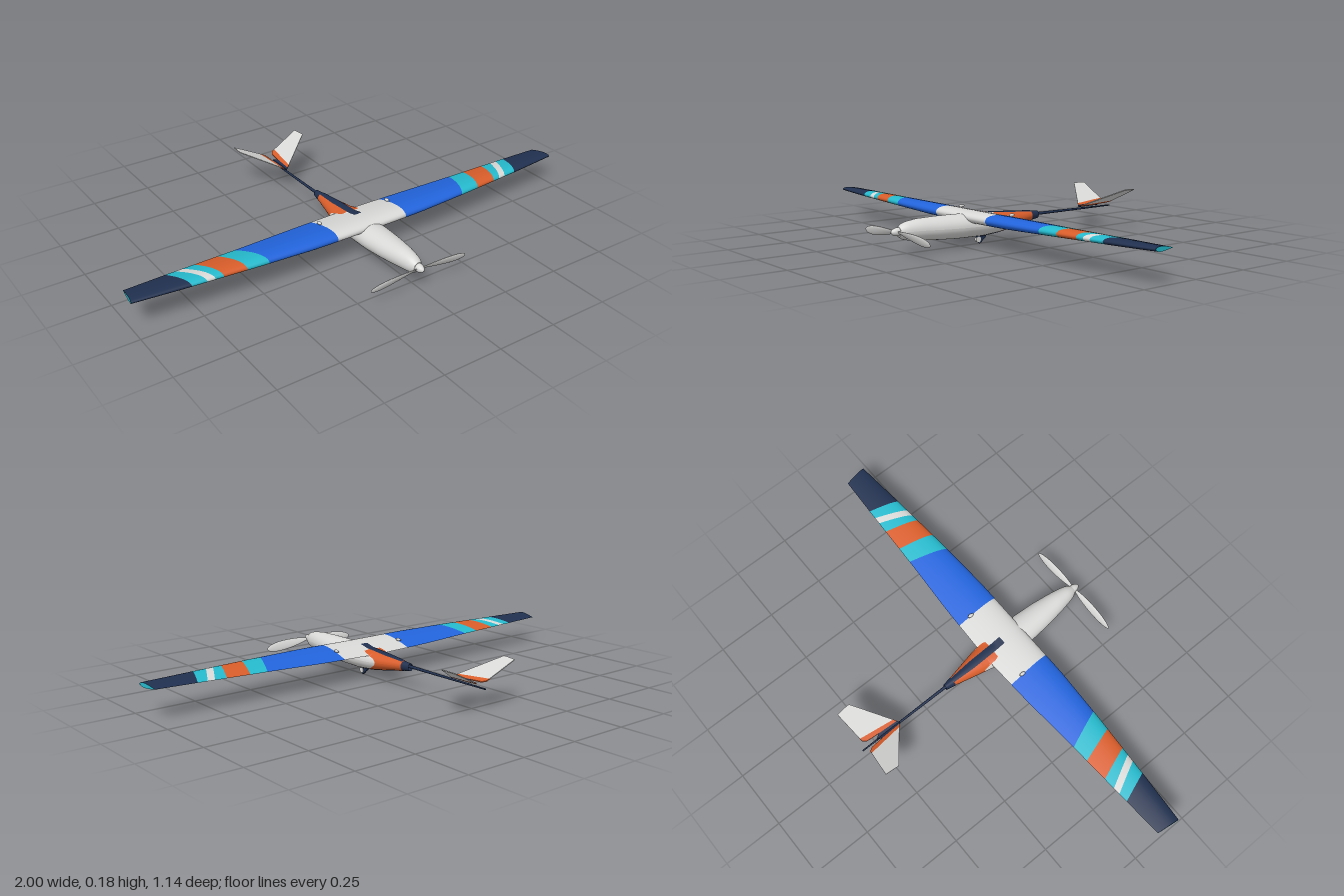
import * as THREE from 'three';

const paint = (name, color) =>
  new THREE.MeshStandardMaterial({ name, color, side: THREE.DoubleSide });
const white = paint('white', 0xd9d9d8);
const blue = paint('blue', 0x2264dc);
const cyan = paint('cyan', 0x25bacd);
const orange = paint('orange', 0xd95d2a);
const navy = paint('navy', 0x20304f);

const lerp = THREE.MathUtils.lerp;

// Linear lookup of one column in a table of stations with ascending keys
function look(table, key, col) {
  let i = 1;
  while (i < table.length - 1 && key > table[i][0]) i++;
  const a = table[i - 1], b = table[i];
  const t = THREE.MathUtils.clamp((key - a[0]) / (b[0] - a[0]), 0, 1);
  return lerp(a[col], b[col], t);
}

// Smooth surface from a function of u and v, both 0..1
function surface(name, nu, nv, fn, material) {
  const pos = [], idx = [];
  for (let i = 0; i <= nu; i++)
    for (let j = 0; j <= nv; j++) pos.push(...fn(i / nu, j / nv));
  for (let i = 0; i < nu; i++)
    for (let j = 0; j < nv; j++) {
      const a = i * (nv + 1) + j, b = a + nv + 1;
      idx.push(a, b, a + 1, b, b + 1, a + 1);
    }
  const g = new THREE.BufferGeometry();
  g.setAttribute('position', new THREE.Float32BufferAttribute(pos, 3));
  g.setIndex(idx);
  g.computeVertexNormals();
  return part(name, g, material);
}

function part(name, geometry, material) {
  const m = new THREE.Mesh(geometry, material);
  m.name = name;
  return m;
}

// Wing stations: x, leading z, trailing z, leading y, trailing y, rise above, drop below
const WING = [
  [0, 0.25, 0.055, 0.117, 0.105, 0.024, 0.024],
  [0.25, 0.25, 0.064, 0.118, 0.107, 0.024, 0.022],
  [0.5, 0.238, 0.08, 0.12, 0.112, 0.02, 0.017],
  [0.8, 0.217, 0.094, 0.122, 0.118, 0.014, 0.012],
  [1, 0.2, 0.105, 0.125, 0.121, 0.009, 0.009],
];
const foil = c => 10 * (0.2969 * Math.sqrt(c) - 0.126 * c - 0.3516 * c * c
  + 0.2843 * c ** 3 - 0.1036 * c ** 4);

// Point on the wing: c is the chord fraction, side is 1 above and -1 below
function wingPoint(x, c, side) {
  const w = k => look(WING, x, k);
  const h = side > 0 ? w(5) : -w(6);
  return [x, lerp(w(3), w(4), c) + h * foil(c), lerp(w(1), w(2), c)];
}

// Half wing in slanted colour bands: leading x, trailing x, colour of the band inboard of it
const BANDS = [
  [0.163, 0.167, white, 'wingCentre'], [0.465, 0.525, blue, 'wingInner'],
  [0.555, 0.6, cyan, 'wingBand'], [0.65, 0.7, orange, 'wingBand'],
  [0.683, 0.75, cyan, 'wingBand'], [0.715, 0.78, white, 'wingBand'],
  [0.775, 0.82, cyan, 'wingBand'], [1, 0.988, navy, 'wingTip'],
];
function halfWing() {
  const g = new THREE.Group();
  g.name = 'halfWing';
  const around = v => {
    const a = v * Math.PI * 2;
    return [(1 + Math.cos(a)) / 2, a < Math.PI ? 1 : -1];
  };
  let from = [0, 0];
  for (const to of BANDS) {
    const start = from;
    g.add(surface(to[3], 6, 40, (u, v) => {
      const [c, side] = around(v);
      return wingPoint(lerp(lerp(start[0], start[1], c), lerp(to[0], to[1], c), u), c, side);
    }, to[2]));
    from = to;
  }
  // Closed wing end
  g.add(surface('wingEnd', 12, 1, (u, v) =>
    wingPoint(lerp(1, 0.988, u), u, v ? 1 : -1), cyan));
  // Small linkage fairing
  const bump = part('linkageFairing', new THREE.SphereGeometry(1, 12, 8), white);
  bump.scale.set(0.007, 0.006, 0.014);
  bump.position.set(0.165, 0.131, 0.12);
  g.add(bump);
  return g;
}

// Fuselage stations: z, half width, top y, bottom y
const BODY = [
  [-0.15, 0.012, 0.105, 0.074], [-0.1, 0.021, 0.109, 0.067], [0, 0.043, 0.116, 0.049],
  [0.07, 0.058, 0.121, 0.038], [0.15, 0.064, 0.126, 0.032], [0.27, 0.064, 0.13, 0.033],
  [0.36, 0.057, 0.131, 0.038], [0.45, 0.044, 0.13, 0.046], [0.5, 0.034, 0.124, 0.051],
  [0.53, 0.026, 0.115, 0.059], [0.537, 0.019, 0.107, 0.067],
];
function bodyPoint(z, a) {
  const top = look(BODY, z, 2), bottom = look(BODY, z, 3);
  return [look(BODY, z, 1) * Math.cos(a),
    (top + bottom) / 2 + (top - bottom) / 2 * Math.sin(a), z];
}
const bodySection = (name, z0, z1, material) => surface(name, 26, 40, (u, v) => {
  const a = v * Math.PI * 2;
  return bodyPoint(lerp(z0(a), z1(a), u), a);
}, material);

// Height of the body or wing skin near the centre line
function skin(x, z, side) {
  const half = look(BODY, z, 1);
  const y = bodyPoint(z, side * Math.acos(THREE.MathUtils.clamp(x / half, -1, 1)))[1];
  const c = (WING[0][1] - z) / (WING[0][1] - WING[0][2]);
  return side > 0 && c >= 0 && c <= 1 ? Math.max(y, wingPoint(0, c, 1)[1]) : y;
}
const decal = (name, z0, z1, width, side, lift, material) =>
  surface(name, 30, 6, (u, v) => {
    const z = lerp(z0, z1, u), x = (v * 2 - 1) * width(z);
    return [x, skin(x, z, side) + side * lift, z];
  }, material);

// Thin tail panel, drawn as [x, z] points and raised outward
function tailPanel(name, points, material) {
  const shape = new THREE.Shape(points.map(([x, z]) => new THREE.Vector2(x, -z)));
  const g = new THREE.ExtrudeGeometry(shape, { depth: 0.004, bevelEnabled: false });
  g.rotateX(-Math.PI / 2);
  const p = g.attributes.position;
  for (let i = 0; i < p.count; i++) p.setY(i, p.getY(i) + 0.098 + 0.49 * p.getX(i));
  g.computeVertexNormals();
  return part(name, g, material);
}
function halfTail() {
  const g = new THREE.Group();
  g.name = 'halfTail';
  g.add(
    tailPanel('tailRoot', [[0, -0.385], [0.008, -0.391], [0.012, -0.48], [0, -0.5]], navy),
    tailPanel('tailStripe', [[0.008, -0.391], [0.02, -0.4], [0.038, -0.552],
      [0.026, -0.55], [0.016, -0.535], [0.012, -0.48]], orange),
    tailPanel('tailFin', [[0.02, -0.4], [0.16, -0.505], [0.161, -0.515],
      [0.156, -0.566], [0.038, -0.552]], white));
  return g;
}

// Petal-shaped propeller blade, narrower at the hub and twisted
function blade() {
  const g = new THREE.SphereGeometry(1, 20, 14);
  g.rotateZ(Math.PI / 2);
  const p = g.attributes.position;
  for (let i = 0; i < p.count; i++) {
    const s = p.getX(i), k = 0.78 + 0.24 * s;
    const h = p.getY(i) * 0.026 * k, d = p.getZ(i) * 0.007 * k;
    const x = 0.115 + 0.109 * s, twist = 0.45 - 0.2 * s;
    p.setXYZ(i, x, 0.088 - 0.09 * x + h * Math.cos(twist) - d * Math.sin(twist),
      0.545 + h * Math.sin(twist) + d * Math.cos(twist));
  }
  g.computeVertexNormals();
  return part('propellerBlade', g, white);
}

export function createModel() {
  const model = new THREE.Group();
  model.name = 'glider';

  // Mirrored parts
  for (const side of [1, -1])
    for (const half of [halfWing(), halfTail(), blade()]) {
      half.scale.x = side;
      model.add(half);
    }

  // Fuselage colours
  const split = a => 0.02 + 0.075 * Math.sin(a) ** 2;
  model.add(
    bodySection('fuselageFront', () => 0.537, split, white),
    bodySection('fuselageRear', split, () => -0.11, orange),
    bodySection('fuselageEnd', () => -0.11, () => -0.15, navy));

  // Painted centre stripes
  const taper = z => Math.min(0.017, 0.011 + (z + 0.11) * 0.06);
  model.add(
    decal('saddlePanel', 0.095, 0.02, z => Math.min(0.046, 0.046 - (z - 0.08) * 0.35,
      look(BODY, z, 1) * 0.95), 1, 0.001, orange),
    decal('topStripe', 0.15, -0.11, taper, 1, 0.002, navy),
    decal('bottomStripe', 0.165, -0.11, taper, -1, 0.0015, navy));

  // Nose cap and spinner
  const nose = part('noseCap', new THREE.CircleGeometry(1, 32), white);
  nose.scale.set(0.019, 0.02, 1);
  nose.position.set(0, 0.087, 0.537);
  const spinner = part('spinner', new THREE.LatheGeometry(
    [[0.017, 0], [0.016, 0.012], [0.012, 0.023], [0.006, 0.031], [0, 0.034]]
      .map(([r, y]) => new THREE.Vector2(r, y)), 24), white);
  spinner.rotation.x = Math.PI / 2;
  spinner.position.set(0, 0.088, 0.537);
  model.add(nose, spinner);

  // Tail boom
  const boom = part('tailBoom', new THREE.CylinderGeometry(0.0065, 0.003, 0.435, 16), navy);
  boom.rotation.x = Math.PI / 2 - 0.004;
  boom.position.set(0, 0.0915, -0.3535);
  model.add(boom);

  // Belly skid with a small wheel
  const outline = [[-0.172, 0.04], [-0.168, 0.016], [-0.155, 0], [-0.146, 0.004],
    [-0.136, 0.016], [-0.125, 0.022], [-0.118, 0.04]].map(p => new THREE.Vector2(...p));
  const skid = part('skid', new THREE.ExtrudeGeometry(new THREE.Shape(outline),
    { depth: 0.008, bevelEnabled: false }), navy);
  skid.rotation.y = Math.PI / 2;
  skid.position.x = -0.004;
  const wheel = part('wheel', new THREE.CylinderGeometry(0.012, 0.012, 0.011, 24), white);
  wheel.rotation.z = Math.PI / 2;
  wheel.position.set(0, 0.017, 0.161);
  model.add(skid, wheel);

  return model;
}
